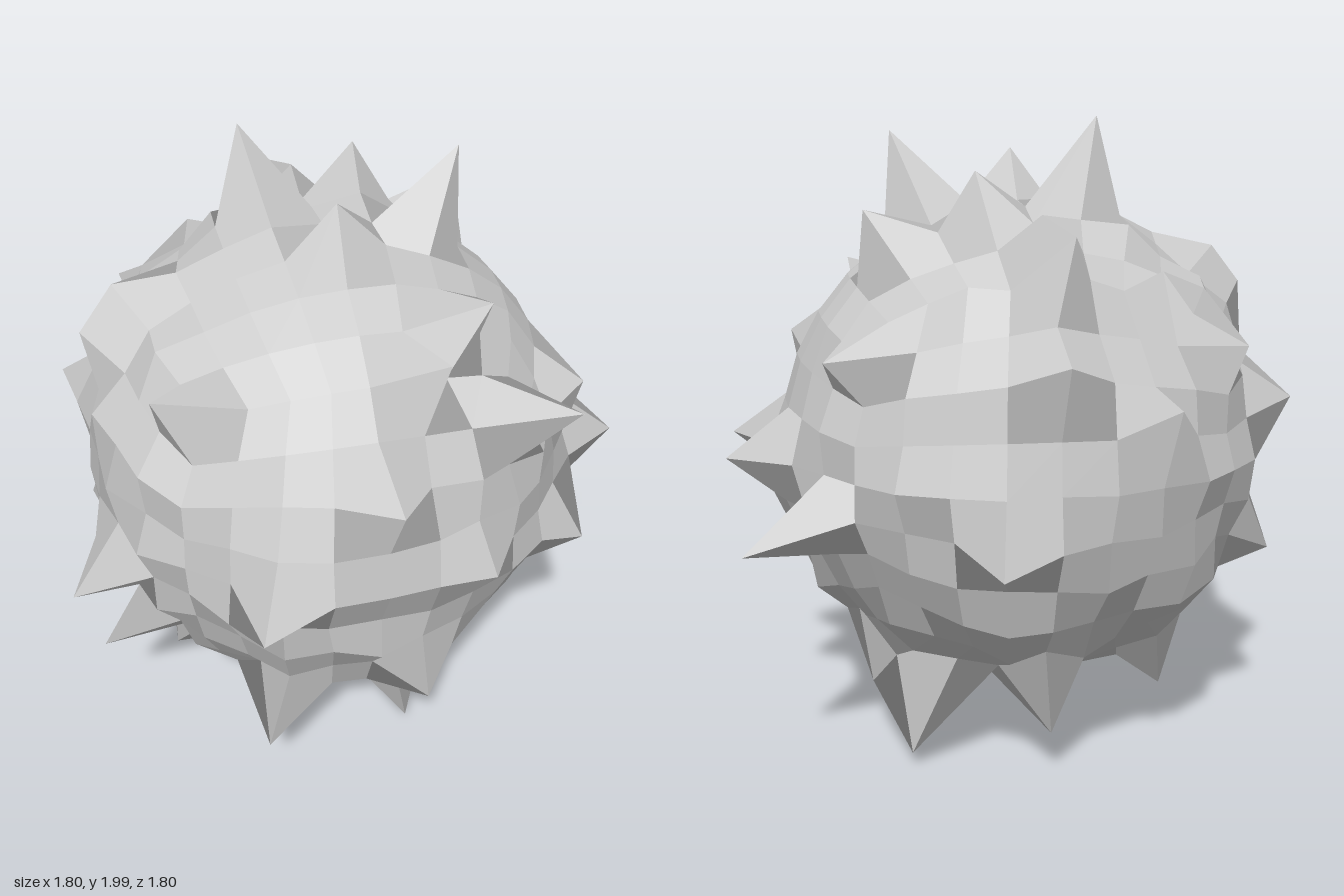
import * as THREE from 'three';

// Tips of the spikes and bumps: x, y, z
const SPIKES = [
  // top
  [-0.24, 2.0, -0.19], [0.37, 1.96, 0.02], [-0.04, 1.91, 0.21], [0.15, 1.84, -0.35], [0.47, 1.73, -0.3],
  [0.31, 1.73, 0.53], [0.15, 1.65, 0.68], [-0.02, 1.72, -0.49], [-0.08, 1.67, -0.67], [-0.37, 1.56, -0.5],
  // left side
  [0.9, 0.98, -0.18], [0.9, 0.98, 0.2], [0.84, 0.79, -0.58], [0.66, 0.5, 0.22],
  [0.6, 1.34, -0.63], [0.7, 1.3, 0.35], [0.69, 0.81, 0.51],
  // right side
  [-0.9, 0.79, 0.38], [-0.83, 0.44, 0.25], [-0.84, 1.15, -0.33], [-0.77, 1.48, 0],
  [-0.66, 1.6, -0.05], [-0.61, 1.35, -0.57], [-0.62, 1.54, 0.5], [-0.8, 0.65, -0.3],
  // front
  [0.49, 1.51, 0.78], [-0.03, 1.35, 0.9], [-0.41, 0.98, 0.9], [0.12, 0.48, 0.75], [0.29, 0.98, 0.79],
  [-0.19, 0.98, 0.8], [-0.03, 0.98, 0.8], [0.12, 0.98, 0.79],
  [-0.19, 1.13, 0.78], [-0.03, 1.13, 0.78], [0.12, 1.13, 0.76],
  [-0.19, 0.82, 0.72], [-0.03, 0.82, 0.72], [0.12, 0.82, 0.72],
  // back
  [0.15, 0.79, -0.9], [-0.03, 1.35, -0.87], [-0.37, 1.2, -0.74],
  // underside
  [0.16, 0.01, 0.42], [0.36, 0.06, -0.38], [-0.58, 0.17, 0.03], [-0.04, 0.12, -0.16],
  [-0.05, 0.17, -0.53], [-0.44, 0.22, -0.33], [0.47, 0.23, -0.2], [-0.37, 0.31, 0.68],
];
const CENTRE = new THREE.Vector3(-0.03, 0.98, 0);
const RADIUS = 0.765;
// Directions of the smooth areas
const SMOOTH = [[-0.3, 0.75, 0.6], [0.8, 0.5, 0.2]].map((d) => new THREE.Vector3(...d).normalize());

// Repeatable 0..1 value for a direction, equal on shared edges
function hash(d) {
  const q = (v) => Math.round(v * 1000);
  const s = Math.sin(q(d.x) * 12.9898 + q(d.y) * 78.233 + q(d.z) * 37.719) * 43758.5453;
  return s - Math.floor(s);
}

// One shared normal for the two triangles of every four-sided facet
function facetNormals(geometry) {
  const p = geometry.attributes.position;
  const normals = geometry.attributes.normal;
  const [a, b, c] = [0, 1, 2].map(() => new THREE.Vector3());
  for (let i = 0; i < p.count; i += 6) {
    const n = new THREE.Vector3();
    for (let t = i; t < i + 6; t += 3) {
      a.fromBufferAttribute(p, t);
      b.fromBufferAttribute(p, t + 1).sub(a);
      c.fromBufferAttribute(p, t + 2).sub(a);
      n.add(b.cross(c));
    }
    n.normalize();
    for (let k = i; k < i + 6; k++) normals.setXYZ(k, n.x, n.y, n.z);
  }
}

export function createModel() {
  const group = new THREE.Group();
  group.name = 'spikyBall';

  // Cube grid rounded into a sphere with equal angles between its lines
  const geometry = new THREE.BoxGeometry(2, 2, 2, 8, 8, 8);
  const pos = geometry.attributes.position;
  const dirs = [];
  const bend = (v) => Math.tan((v * Math.PI) / 4);
  for (let i = 0; i < pos.count; i++) {
    const d = new THREE.Vector3(bend(pos.getX(i)), bend(pos.getY(i)), bend(pos.getZ(i))).normalize();
    dirs.push(d);
    // Low bumps outside the smooth areas
    const calm = SMOOTH.some((s) => s.dot(d) > 0.88);
    const r = RADIUS + (calm ? 0 : Math.max(0, hash(d) - 0.5) * 0.1);
    pos.setXYZ(i, CENTRE.x + d.x * r, CENTRE.y + d.y * r, CENTRE.z + d.z * r);
  }

  // Pull the nearest grid point out to each spike tip
  for (const tip of SPIKES) {
    const aim = new THREE.Vector3(...tip).sub(CENTRE).normalize();
    const best = dirs.reduce((a, d) => (d.dot(aim) > a.dot(aim) ? d : a));
    dirs.forEach((d, i) => {
      if (d.distanceTo(best) < 1e-4) pos.setXYZ(i, ...tip);
    });
  }

  const faceted = geometry.toNonIndexed();
  facetNormals(faceted);
  const ball = new THREE.Mesh(faceted, new THREE.MeshStandardMaterial({ color: 0xcccccc }));
  ball.name = 'spikedSurface';
  group.add(ball);
  return group;
}
